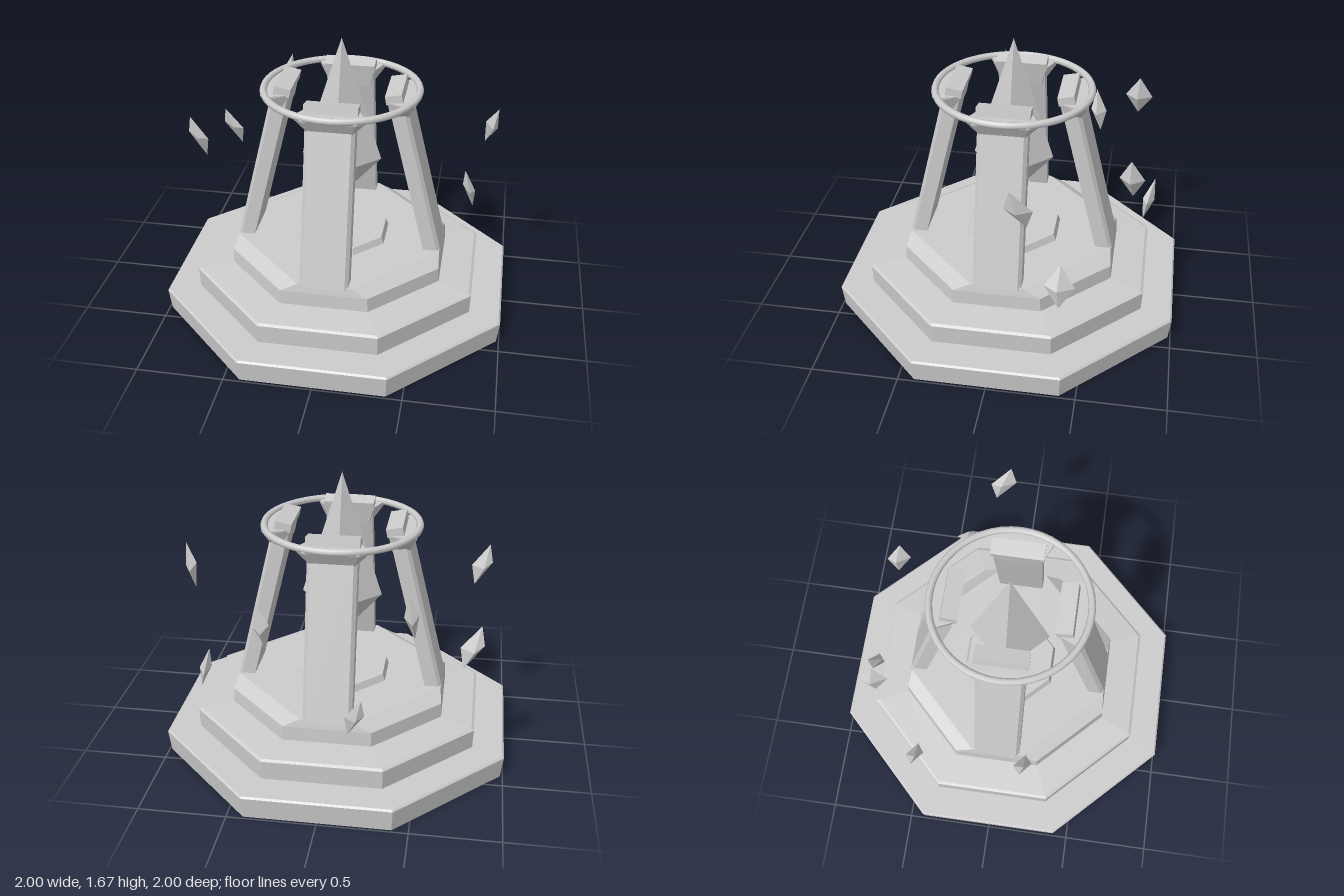
import * as THREE from 'three';
import { ConvexGeometry } from 'three/addons/geometries/ConvexGeometry.js';

const stone = new THREE.MeshStandardMaterial({ color: 0xcccccc });
stone.name = 'pale grey stone';

function add(parent, name, geometry) {
  const mesh = new THREE.Mesh(geometry, stone);
  mesh.name = name;
  parent.add(mesh);
  return mesh;
}

// Solid hull around a few corner points
const hull = (points) => new ConvexGeometry(points.map((p) => new THREE.Vector3(...p)));

// Eight-sided step; profile lists [distance to flat side, height] from the bottom up
function octagon(profile) {
  const k = 1 / Math.cos(Math.PI / 8);
  const pts = profile.map(([a, y]) => new THREE.Vector2(a * k, y));
  const geometry = new THREE.LatheGeometry(pts, 8, Math.PI / 8).toNonIndexed();
  geometry.computeVertexNormals();
  return geometry;
}

// Octagon corners with sides at distance a and flat half-width b
function corners(a, b, y) {
  const out = [];
  for (const s of [-1, 1]) for (const t of [-1, 1]) out.push([s * a, y, t * b], [s * b, y, t * a]);
  return out;
}

export function createModel() {
  const model = new THREE.Group();
  model.name = 'crystalShrine';

  // Stepped base
  add(model, 'lowerStep', octagon([[0, 0], [0.985, 0], [1, 0.13], [0.99, 0.14], [0, 0.14]]));
  add(model, 'middleStep', octagon([[0, 0.13], [0.815, 0.13], [0.82, 0.255], [0.805, 0.265], [0.62, 0.28], [0, 0.28]]));
  add(model, 'upperStep', hull([
    ...corners(0.625, 0.255, 0.26), ...corners(0.62, 0.25, 0.365), ...corners(0.61, 0.15, 0.415),
  ]));
  add(model, 'innerPlinth', octagon([[0, 0.4], [0.28, 0.4], [0.26, 0.455], [0, 0.455]]));

  // Four leaning pillars, each with a bracket and a tilted cap
  for (let i = 0; i < 4; i++) {
    const arm = new THREE.Group();
    arm.name = 'pillarArm';
    arm.rotation.y = (i * Math.PI) / 2;
    model.add(arm);

    const pillar = [];
    for (const [y, z] of [[0.4, 0.618], [1.33, 0.39]]) {
      for (const s of [-1, 1]) {
        pillar.push([s * 0.14, y, z - 0.1], [s * 0.14, y, z - 0.02], [s * 0.12, y, z]);
      }
    }
    add(arm, 'pillar', hull(pillar));

    const bracket = [];
    for (const s of [-1, 1]) {
      bracket.push([s * 0.12, 1.255, 0.30], [s * 0.12, 1.265, 0.395]);
      bracket.push([s * 0.145, 1.36, 0.28], [s * 0.20, 1.345, 0.40], [s * 0.15, 1.345, 0.44]);
      bracket.push([s * 0.20, 1.365, 0.40], [s * 0.15, 1.365, 0.44]);
    }
    add(arm, 'bracket', hull(bracket));

    const cap = add(arm, 'pillarCap', new THREE.BoxGeometry(0.3, 0.05, 0.095));
    cap.position.set(0, 1.38, 0.317);
    cap.rotation.x = -0.2;
  }

  // Ring around the pillar tops
  const ring = add(model, 'topRing', new THREE.TorusGeometry(0.446, 0.021, 8, 48));
  ring.rotation.x = Math.PI / 2;
  ring.position.y = 1.365;

  // Central crystal
  add(model, 'centralCrystal', hull([
    [0, 1.67, 0], [0, 0.67, 0],
    [0.235, 0.93, 0], [-0.235, 0.93, 0], [0, 0.93, 0.235], [0, 0.93, -0.235],
  ]));

  // Floating shards: x, y, z, half-width, half-depth, lean in x, lean in z
  const shards = [
    [-0.46, 1.14, -0.70, 0.04, 0.08, 0.02, 0.00],
    [-0.18, 0.58, -0.81, 0.055, 0.035, -0.04, -0.03],
    [0.33, 1.03, -0.71, 0.045, 0.07, 0.025, 0.01],
    [0.75, 0.57, -0.37, 0.04, 0.085, -0.03, 0.00],
    [0.86, 1.12, -0.16, 0.035, 0.075, 0.035, 0.04],
    [-0.78, 0.85, -0.44, 0.065, 0.05, -0.045, 0.02],
    [-0.81, 1.08, 0.18, 0.06, 0.05, -0.04, 0.01],
  ];
  for (const [x, y, z, w, d, lx, lz] of shards) {
    const shard = add(model, 'floatingShard', hull([
      [lx, 0.125, lz], [-lx, -0.125, -lz],
      [w, -0.01, 0.01], [-w, 0.02, -0.01], [0.01, 0.01, d], [-0.01, -0.01, -d],
    ]));
    shard.position.set(x, y, z);
  }
  return model;
}
